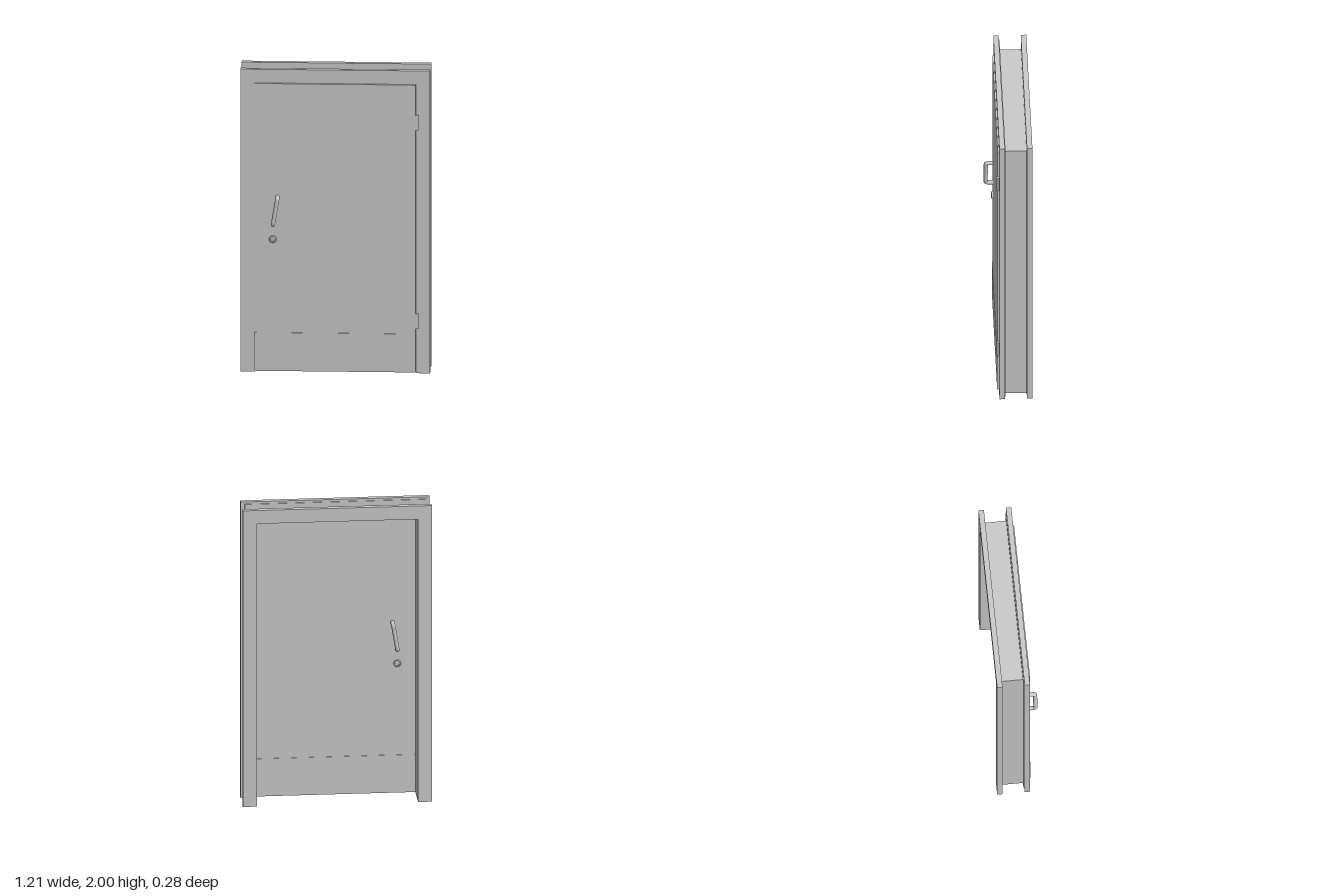
import * as THREE from 'three';

const mat = new THREE.MeshStandardMaterial({ color: 0xcccccc });
const INNER = 0.518, INNER_TOP = 1.91;
const DOOR_BACK = 0.04, DOOR_FRONT = 0.08;

function add(parent, name, geometry, x = 0, y = 0, z = 0) {
  const mesh = new THREE.Mesh(geometry, mat);
  mesh.name = name;
  mesh.position.set(x, y, z);
  parent.add(mesh);
  return mesh;
}

// Three-sided frame around the door opening, open at the floor
function surround(halfWidth, top, z0, z1) {
  const pts = [
    [-halfWidth, 0], [-INNER, 0], [-INNER, INNER_TOP], [INNER, INNER_TOP],
    [INNER, 0], [halfWidth, 0], [halfWidth, top], [-halfWidth, top],
  ].map(([x, y]) => new THREE.Vector2(x, y));
  const geo = new THREE.ExtrudeGeometry(new THREE.Shape(pts), { depth: z1 - z0, bevelEnabled: false });
  return geo.translate(0, 0, z0);
}

// Box given by its limits
function block(parent, name, x0, x1, y0, y1, z0, z1) {
  return add(parent, name, new THREE.BoxGeometry(x1 - x0, y1 - y0, z1 - z0),
    (x0 + x1) / 2, (y0 + y1) / 2, (z0 + z1) / 2);
}

// Tilted pull handle with rounded bends, plus lock cylinder; local z = 0 is the door face
function makeHardware(name) {
  const g = new THREE.Group();
  g.name = name;
  const low = new THREE.Vector3(-0.398, 0.983, 0), high = new THREE.Vector3(-0.369, 1.158, 0);
  const reach = 0.047, bend = 0.014;
  const out = new THREE.Vector3(0, 0, 1);
  const along = high.clone().sub(low).normalize();
  const at = (p, a, z) => p.clone().addScaledVector(along, a).addScaledVector(out, z);
  const path = new THREE.CurvePath();
  path.add(new THREE.LineCurve3(at(low, 0, -0.003), at(low, 0, reach - bend)));
  path.add(new THREE.QuadraticBezierCurve3(at(low, 0, reach - bend), at(low, 0, reach), at(low, bend, reach)));
  path.add(new THREE.LineCurve3(at(low, bend, reach), at(high, -bend, reach)));
  path.add(new THREE.QuadraticBezierCurve3(at(high, -bend, reach), at(high, 0, reach), at(high, 0, reach - bend)));
  path.add(new THREE.LineCurve3(at(high, 0, reach - bend), at(high, 0, -0.003)));
  add(g, 'pullHandle', new THREE.TubeGeometry(path, 72, 0.0135, 16, false));

  // Lock: raised collar with a recessed core and key slot
  const collar = [[0.024, 0], [0.024, 0.006], [0.021, 0.011], [0.014, 0.011], [0.013, 0.006], [0, 0.006]]
    .map(([r, h]) => new THREE.Vector2(r, h));
  const lock = add(g, 'lockCylinder', new THREE.LatheGeometry(collar, 32), -0.4, 0.88, 0);
  lock.rotation.x = Math.PI / 2;
  lock.geometry = lock.geometry.toNonIndexed();
  lock.geometry.computeVertexNormals();
  block(g, 'keySlot', -0.402, -0.398, 0.873, 0.887, 0.004, 0.008);
  return g;
}

export function createModel() {
  const model = new THREE.Group();
  model.name = 'doorWithFrame';

  // Frame: front and back casings joined by the jamb
  const frame = new THREE.Group();
  frame.name = 'frame';
  add(frame, 'frontCasing', surround(0.607, 2, 0.037, 0.071));
  add(frame, 'frontCasingStep', surround(0.58, 1.985, 0.032, 0.037));
  add(frame, 'jamb', surround(0.543, 1.933, -0.105, 0.032));
  add(frame, 'backCasing', surround(0.607, 2, -0.14, -0.105));
  model.add(frame);

  // Door leaf with a kick plate on each face
  const door = new THREE.Group();
  door.name = 'door';
  block(door, 'leaf', -0.517, 0.515, 0.008, 1.908, DOOR_BACK, DOOR_FRONT);
  block(door, 'frontKickPlate', -0.517, 0.515, 0.008, 0.262, DOOR_FRONT, DOOR_FRONT + 0.003);
  block(door, 'backKickPlate', -0.517, 0.515, 0.008, 0.262, DOOR_BACK - 0.003, DOOR_BACK);

  // Handle and lock on both faces
  const front = makeHardware('frontHardware');
  front.position.z = DOOR_FRONT;
  const back = makeHardware('backHardware');
  back.position.z = DOOR_BACK;
  back.scale.z = -1;
  door.add(front, back);
  model.add(door);

  // Hinges on the left edge
  for (const y of [0.345, 1.66]) {
    block(model, 'hinge', 0.512, 0.534, y - 0.05, y + 0.05, 0.06, 0.086);
  }
  return model;
}
